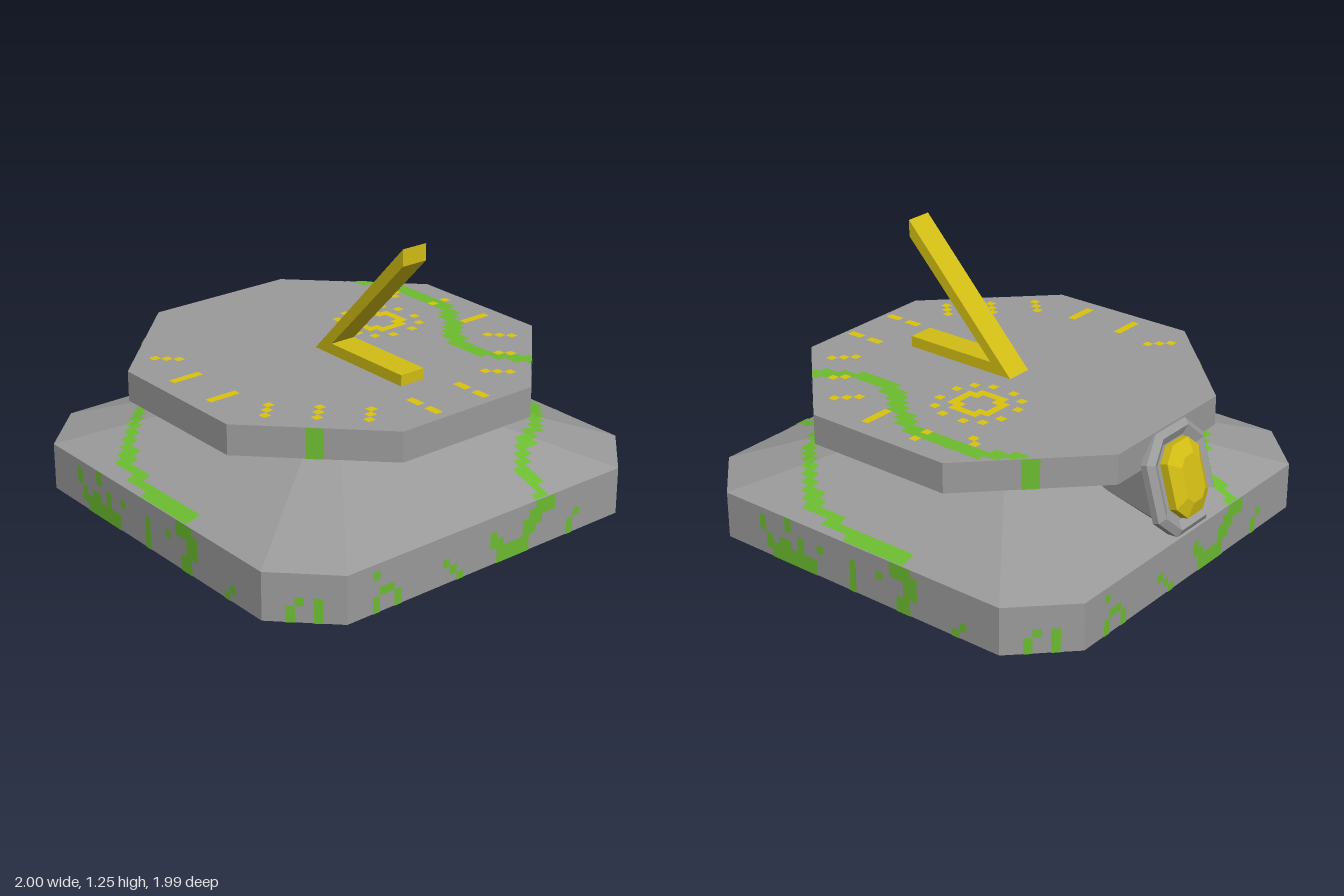
import * as THREE from 'three';

const R = 0.9925, CUT = 0.237;       // base half width and corner cut
const P = 0.848, PCUT = 0.496;       // dial half width and corner cut
const Y1 = 0.215, Y2 = 0.46, TOP = 0.29;
const CELL = 0.037;                  // painted square size

function mat(name, color, side = THREE.FrontSide) {
  const m = new THREE.MeshStandardMaterial({ color, side });
  m.name = name;
  return m;
}

function mesh(name, geometry, material) {
  const m = new THREE.Mesh(geometry, material);
  m.name = name;
  return m;
}

// Rectangle with cut corners, at depth z
function ring(w, h, c, z, dy = 0) {
  return [[w, c - h], [w, h - c], [w - c, h], [c - w, h], [-w, h - c], [-w, c - h], [c - w, -h], [w - c, -h]]
    .map(([x, y]) => new THREE.Vector3(x, y + dy, z));
}

function flatGeometry(tris) {
  const g = new THREE.BufferGeometry().setFromPoints(tris);
  g.computeVertexNormals();
  return g;
}

// Flat-sided solid through a row of rings, closed at both ends
function loft(rings) {
  const t = [], n = rings[0].length;
  for (let k = 0; k + 1 < rings.length; k++) {
    const a = rings[k], b = rings[k + 1];
    for (let i = 0; i < n; i++) {
      const j = (i + 1) % n;
      t.push(a[i], a[j], b[j], a[i], b[j], b[i]);
    }
  }
  const s = rings[0], e = rings[rings.length - 1];
  for (let i = 1; i + 1 < n; i++) t.push(s[0], s[i + 1], s[i], e[0], e[i], e[i + 1]);
  return flatGeometry(t);
}

// Squares of a grid that lie along polylines [width, x0, y0, x1, y1, ...]
function paint(name, material, strokes, map) {
  const cells = new Map();
  for (const [width, ...p] of strokes) {
    const reach = Math.max(width / 2 - CELL / 2, 0);
    for (let k = 0; k < Math.max(p.length - 2, 1); k += 2) {
      const x0 = p[k], y0 = p[k + 1], x1 = p[k + 2] ?? x0, y1 = p[k + 3] ?? y0;
      const steps = Math.max(1, Math.round(Math.max(Math.abs(x1 - x0), Math.abs(y1 - y0)) / CELL));
      for (let s = 0; s <= steps; s++) {
        const x = x0 + (x1 - x0) * s / steps, y = y0 + (y1 - y0) * s / steps;
        for (const dx of reach ? [-reach, reach] : [0]) for (const dy of reach ? [-reach, reach] : [0]) {
          const i = Math.floor((x + dx) / CELL), j = Math.floor((y + dy) / CELL);
          cells.set(i + ',' + j, [i * CELL, j * CELL]);
        }
      }
    }
  }
  const t = [];
  for (const [x, y] of cells.values()) {
    const [a, b, c, d] = [map(x, y), map(x, y + CELL), map(x + CELL, y + CELL), map(x + CELL, y)];
    t.push(a, b, c, a, c, d);
  }
  return mesh(name, flatGeometry(t), material);
}

// Octagon distance, used to keep paint inside an outline
const gauge = (x, z, r, cut) =>
  Math.max(Math.abs(x), Math.abs(z), (Math.abs(x) + Math.abs(z)) * r / (2 * r - cut));

function onSlope(x, z) {
  let g = gauge(x, z, R, CUT);
  if (g > R) { x *= R / g; z *= R / g; g = R; }
  return new THREE.Vector3(x, Y1 + (Y2 - Y1) * (R - g) / (R - TOP) + 0.005, z);
}

function onDial(x, z) {
  const f = Math.min(1, P / gauge(x, z, P, PCUT));
  return new THREE.Vector3(x * f, 0.659, z * f);
}

// Upright panel at a distance from the axis, kept between two heights
const onWall = (dist, lo, hi) => (u, v) =>
  new THREE.Vector3(u, Math.min(hi, Math.max(lo, v)), dist + 0.003);

export function createModel() {
  const stone = mat('stone', 0x9a9a9a);
  const moss = mat('moss', 0x6cbc30, THREE.DoubleSide);
  const gold = mat('gold', 0xd2bd14);
  const markGold = mat('markGold', 0xdcc40c, THREE.DoubleSide);
  const model = new THREE.Group();
  model.name = 'sundial';

  const body = new THREE.Group();
  body.name = 'stonework';
  body.position.x = 0.0075;
  model.add(body);

  // Stepped base and floating dial plate
  const k = TOP / R;
  const base = mesh('base', loft([ring(R, R, CUT, 0), ring(R, R, CUT, Y1), ring(TOP, TOP, CUT * k, Y2)]), stone);
  const dial = mesh('dialPlate', loft([ring(P, P, PCUT, 0.52), ring(P, P, PCUT, 0.655)]), stone);
  base.rotation.x = dial.rotation.x = -Math.PI / 2;
  body.add(base, dial);

  // Moss on the base, repeated half a turn round
  const slopeVein = [[0.06, -0.98, 0.3, -0.85, 0.33, -0.72, 0.44, -0.65, 0.57, -0.56, 0.69, -0.4, 0.83,
    -0.29, 0.9, -0.13, 0.945, 0.08, 0.965, 0.24, 0.97]];
  const frontMoss = [
    [0.06, 0.2, 0.19, 0.27, 0.18, 0.3, 0.1, 0.25, 0.04], [0.06, -0.45, 0.03, -0.27, 0.03],
    [0.06, -0.42, 0.09, -0.35, 0.06], [0.03, -0.55, 0.17, -0.49, 0.11, -0.48, 0.02],
    [0.03, -0.38, 0.19, -0.4, 0.11], [0.03, -0.3, 0.12, -0.34, 0.05], [0.03, -0.2, 0.12],
    [0.03, -0.02, 0.12, -0.01, 0.02], [0.03, 0.13, 0.13], [0.03, 0.57, 0.05, 0.53, 0.01],
  ];
  // Side panels run along -z as u grows
  const sideMoss = [
    [0.07, 0.07, 0.03, 0.19, 0.03, 0.22, 0.1, 0.3, 0.17, 0.34, 0.2], [0.03, -0.6, 0.15, -0.57, 0.1],
    [0.03, -0.52, 0.1, -0.5, 0.01], [0.03, -0.62, 0.05, -0.6, 0.01], [0.03, -0.23, 0.08, -0.15, 0.01],
    [0.03, 0.0, 0.12, 0.06, 0.1], [0.03, 0.5, 0.1, 0.45, 0.03],
  ];
  const cornerMoss = [[0.03, -0.07, 0.02, -0.03, 0.1], [0.03, 0.06, 0.11, 0.04, 0.02]];
  const cornerDist = (2 * R - CUT) / Math.SQRT2, dialCorner = (2 * P - PCUT) / Math.SQRT2;
  for (let half = 0; half < 2; half++) {
    const g = new THREE.Group();
    g.name = 'baseMoss';
    g.rotation.y = half * Math.PI;
    const side = paint('sideMoss', moss, sideMoss, onWall(R, 0, Y1));
    side.rotation.y = Math.PI / 2;
    g.add(paint('slopeVein', moss, slopeVein, onSlope), paint('frontMoss', moss, frontMoss, onWall(R, 0, Y1)), side);
    for (const turn of [1, 3]) {
      const corner = paint('cornerMoss', moss, cornerMoss, onWall(cornerDist, 0, Y1));
      const stripe = paint('dialEdgeMoss', moss, [[0.075, 0, 0.53, 0, 0.645]], onWall(dialCorner, 0.52, 0.655));
      corner.rotation.y = stripe.rotation.y = turn * Math.PI / 4;
      g.add(corner, stripe);
    }
    body.add(g);
  }

  // Moss vein across the dial
  body.add(paint('dialVein', moss, [[0.07, -0.56, -0.63, -0.4, -0.7, -0.18, -0.72, -0.02, -0.68, 0.085, -0.61,
    0.17, -0.51, 0.3, -0.455, 0.46, -0.445, 0.56, -0.5, 0.62, -0.55]], onDial));

  // Hour marks
  const w = 0.03;
  const marks = [
    [w, 0.13, -0.77, 0.13, -0.66], [w, -0.13, -0.76], [w, -0.13, -0.68], [w, -0.35, -0.66], [w, -0.31, -0.62],
    [w, 0.4, -0.7, 0.32, -0.62], [w, 0.55, -0.54, 0.51, -0.5], [w, 0.7, -0.39, 0.62, -0.31],
    [w, 0.66, -0.13, 0.78, -0.13], [w, 0.66, 0.13, 0.78, 0.13], [w, 0.62, 0.31, 0.7, 0.39],
    [w, 0.47, 0.465, 0.55, 0.545], [w, 0.32, 0.62, 0.4, 0.7], [w, 0.13, 0.66, 0.13, 0.77],
    [w, -0.13, 0.66, -0.13, 0.77], [w, -0.39, 0.7, -0.31, 0.62],
  ];
  body.add(paint('hourMarks', markGold, marks, (x, z) => onDial(x, z).setY(0.661)));

  // Sun emblem: ring with dots round it
  const sun = [];
  for (const sx of [-1, 1]) for (const sz of [-1, 1]) {
    for (const [x, z] of [[0.055, 0.165], [0.13, 0.13], [0.165, 0.055]]) sun.push([w, sx * x, sz * z]);
    for (const [x, z] of [[0.018, 0.092], [0.055, 0.092], [0.055, 0.055], [0.092, 0.055], [0.092, 0.018]])
      sun.push([w, sx * x, sz * z]);
  }
  body.add(paint('sunEmblem', markGold, sun, (x, z) => new THREE.Vector3(x - 0.12, 0.661, z - 0.345)));

  // Gnomon: flat foot and slanted pointer
  const profile = new THREE.Shape([[-0.055, 0.655], [0.51, 0.655], [0.51, 0.705], [0.055, 0.705], [0.51, 1.18], [0.51, 1.255]]
    .map(([x, y]) => new THREE.Vector2(x, y)));
  const gnomon = mesh('gnomon', new THREE.ExtrudeGeometry(profile, { depth: 0.125, bevelEnabled: false }), gold);
  gnomon.position.z = -0.0625;
  model.add(gnomon);

  // Gem mount leaning out of the right side
  const mount = new THREE.Group();
  mount.name = 'gemMount';
  mount.position.set(-0.92, 0.437, 0);
  mount.rotation.set(-0.28, -Math.PI / 2, 0, 'YXZ');
  mount.add(
    mesh('mountBody', loft([ring(0.08, 0.06, 0.02, -0.61, 0.138), ring(0.19, 0.21, 0.09, -0.02)]), stone),
    mesh('mountFrame', loft([ring(0.205, 0.226, 0.1, -0.04), ring(0.205, 0.226, 0.1, -0.01),
      ring(0.175, 0.2, 0.085, 0.012), ring(0.135, 0.165, 0.065, -0.012)]), stone),
    mesh('gem', loft([ring(0.115, 0.16, 0.06, -0.02), ring(0.115, 0.16, 0.06, 0.025), ring(0.065, 0.1, 0.035, 0.055)]), gold),
  );
  model.add(mount);
  return model;
}
